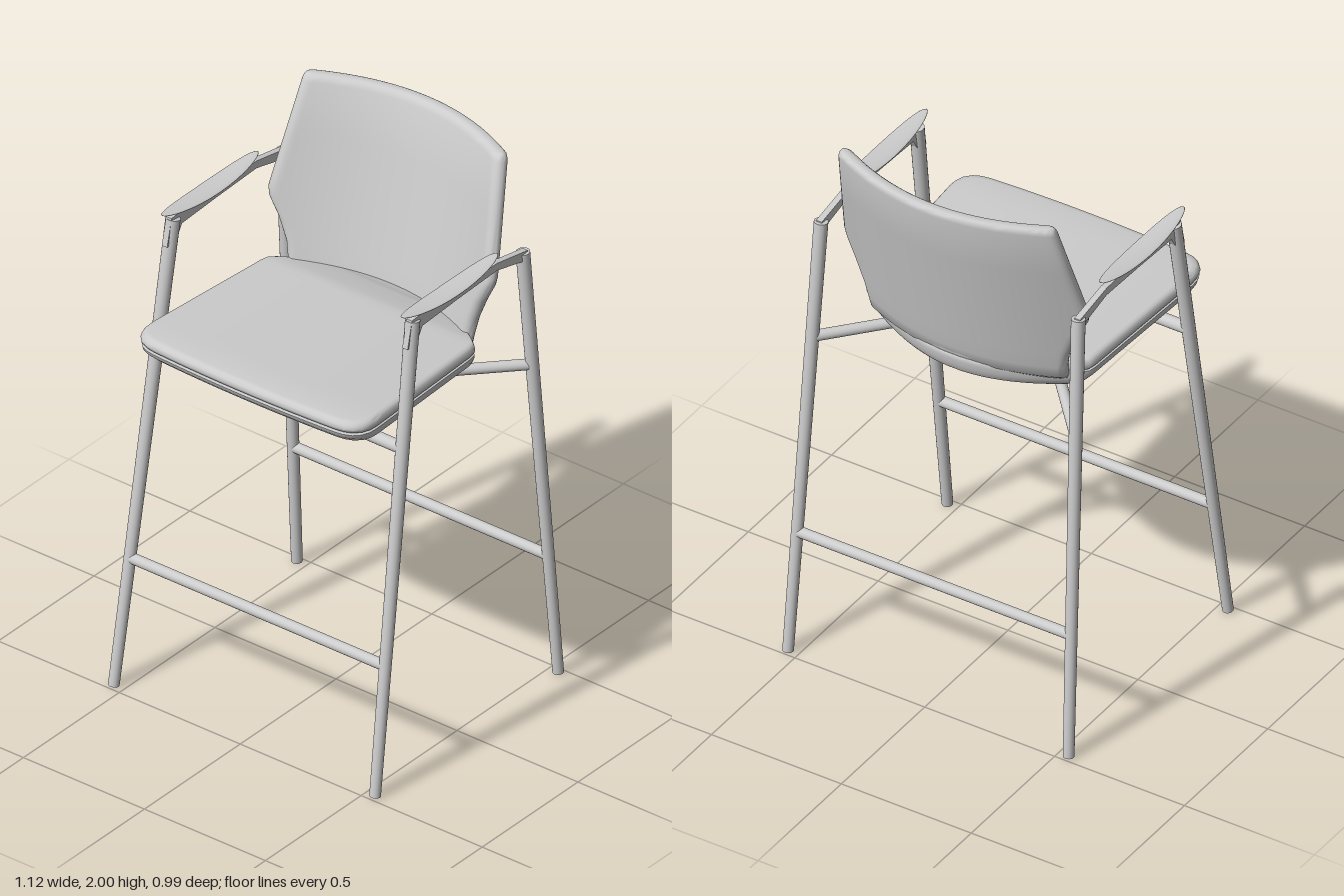
import * as THREE from 'three';
import { toCreasedNormals } from 'three/addons/utils/BufferGeometryUtils.js';

const V = (x, y, z) => new THREE.Vector3(x, y, z);

// Closed rings stacked bottom to top, with strip caps joining each ring's two halves
function loft(rings) {
  const n = rings[0].length, pos = [], idx = [];
  rings.forEach(r => r.forEach(p => pos.push(p.x, p.y, p.z)));
  for (let i = 0; i < rings.length - 1; i++) {
    for (let j = 0; j < n; j++) {
      const a = i * n + j, b = i * n + (j + 1) % n;
      idx.push(a, b, b + n, a, b + n, a + n);
    }
  }
  const t = (rings.length - 1) * n;
  for (let j = 0; j < n / 2 - 1; j++) {
    const k = n - 1 - j;
    idx.push(t + j, t + j + 1, t + k, t + j + 1, t + k - 1, t + k);
    idx.push(j, k, j + 1, j + 1, k, k - 1);
  }
  const g = new THREE.BufferGeometry();
  g.setAttribute('position', new THREE.Float32BufferAttribute(pos, 3));
  g.setIndex(idx);
  return toCreasedNormals(g, 0.8);
}

// Round bar between two points
function barGeometry(a, b, ra, rb) {
  const d = b.clone().sub(a);
  const g = new THREE.CylinderGeometry(rb, ra, d.length(), 20);
  g.applyQuaternion(new THREE.Quaternion().setFromUnitVectors(V(0, 1, 0), d.normalize()));
  const m = a.clone().add(b).multiplyScalar(0.5);
  return g.translate(m.x, m.y, m.z);
}

// Seat outline seen from above: front edge, rounded corners, arched rear
function seatOutline() {
  const s = new THREE.Shape();
  s.moveTo(0, 0.495);
  s.quadraticCurveTo(0.2, 0.495, 0.38, 0.483);
  s.quadraticCurveTo(0.472, 0.475, 0.47, 0.385);
  s.lineTo(0.437, -0.165);
  s.quadraticCurveTo(0.435, -0.185, 0.415, -0.197);
  s.quadraticCurveTo(0.2, -0.345, 0, -0.345);
  const half = s.getSpacedPoints(50);
  const other = half.map(p => new THREE.Vector2(-p.x, p.y)).reverse();
  return [...half, ...other.slice(1, -1)];
}

// Seat layers: [height, x scale, z scale]; scaling in z is about a rear pivot
function seatGeometry(layers) {
  const outline = seatOutline();
  // drop the front centre point so that the ring pairs up across the middle
  outline.shift();
  outline.splice(49, 1);
  return loft(layers.map(([y, sx, sz]) => outline.map(p => {
    const z = -0.22 + (p.y + 0.22) * sz;
    return V(p.x * sx, y - 0.022 * (0.5 - z), z);
  })));
}

// Curved, reclined backrest: rows of [height, half width, thickness factor]
function backrestGeometry() {
  const rows = [
    [1.30, 0.37, 0.4], [1.315, 0.375, 0.9], [1.36, 0.378, 1], [1.42, 0.39, 1], [1.5, 0.422, 1],
    [1.57, 0.458, 1], [1.6, 0.464, 1], [1.65, 0.458, 1], [1.8, 0.438, 1], [1.975, 0.415, 1],
    [1.99, 0.411, 0.85], [1.997, 0.407, 0.6], [2.0, 0.402, 0.3],
  ];
  const N = 40;
  return loft(rows.map(([y, w, f]) => {
    const front = [], back = [];
    const zc = -0.325 - 0.227 * (y - 1.36);
    for (let i = 0; i <= N; i++) {
      const u = Math.sin((i / N - 0.5) * Math.PI), x = u * w;
      const over = Math.max(0, (Math.abs(x) - (w - 0.025)) / 0.025);
      const h = Math.max(0.001, 0.026 * f * Math.sqrt(Math.max(0, 1 - over * over)));
      const m = 1.36 * x, len = Math.hypot(m, 1), z = zc + 0.68 * x * x;
      front.push(V(x - h * m / len, y, z + h / len));
      back.push(V(x + h * m / len, y, z - h / len));
    }
    return [...front, ...back.reverse()];
  }));
}

// Slim arm bracket: side profile in (z, y)
function armGeometry() {
  const pts = [[0.268, 1.6], [0.245, 1.70], [0.19, 1.705], [-0.2, 1.70], [-0.36, 1.67],
    [-0.36, 1.63], [-0.33, 1.64], [-0.2, 1.672], [0, 1.665], [0.19, 1.655], [0.222, 1.6]];
  const shape = new THREE.Shape(pts.map(p => new THREE.Vector2(...p)));
  const g = new THREE.ExtrudeGeometry(shape, { depth: 0.022, bevelEnabled: false });
  return g.rotateY(-Math.PI / 2).translate(0.011, 0, 0);
}

// Thin leaf-shaped pad with upturned ends
function padGeometry() {
  const g = new THREE.SphereGeometry(1, 32, 20).scale(0.04, 0.007, 0.25);
  const p = g.attributes.position;
  for (let i = 0; i < p.count; i++) p.setY(i, p.getY(i) + 0.02 * (p.getZ(i) / 0.25) ** 2);
  g.computeVertexNormals();
  return g;
}

export function createModel() {
  const model = new THREE.Group();
  model.name = 'barChair';
  const grey = new THREE.MeshStandardMaterial({ color: 0xcccccc });
  grey.name = 'lightGrey';
  const add = (name, geometry) => {
    const mesh = new THREE.Mesh(geometry, grey);
    mesh.name = name;
    model.add(mesh);
    return mesh;
  };
  const bar = (name, a, b, ra, rb = ra) => add(name, barGeometry(a, b, ra, rb));

  // Seat shell, cushion and backrest
  add('seatShell', seatGeometry([
    [1.272, 0.84, 0.82], [1.275, 0.88, 0.86], [1.285, 0.925, 0.91], [1.305, 0.968, 0.96],
    [1.325, 0.99, 0.99], [1.34, 0.995, 0.997], [1.343, 0.98, 0.98],
  ]));
  add('seatCushion', seatGeometry([
    [1.343, 0.975, 0.975], [1.348, 0.992, 0.992], [1.36, 1, 1], [1.373, 0.995, 0.995],
    [1.382, 0.98, 0.982], [1.385, 0.955, 0.96],
  ]));
  add('backrest', backrestGeometry());

  // Legs, arms and rails on both sides
  for (const [s, side] of [[1, 'left'], [-1, 'right']]) {
    bar(side + 'FrontLeg', V(s * 0.54, 0.004, 0.478), V(s * 0.495, 1.69, 0.225), 0.019, 0.025);
    bar(side + 'BackLeg', V(s * 0.54, 0.004, -0.478), V(s * 0.495, 1.665, -0.35), 0.019, 0.024);
    add(side + 'Arm', armGeometry()).position.x = s * 0.497;
    add(side + 'ArmPad', padGeometry()).position.set(s * 0.495, 1.706, 0.033);
    bar(side + 'SeatRail', V(s * 0.25, 1.23, 0.29), V(s * 0.25, 1.225, -0.1), 0.019);
    bar(side + 'DiagonalRail', V(s * 0.25, 1.225, -0.1), V(s * 0.505, 1.22, -0.383), 0.019);
    add(side + 'RailJoint', new THREE.SphereGeometry(0.019, 16, 12)).position.set(s * 0.25, 1.225, -0.1);
  }

  // Cross bars under the seat and between the legs
  bar('frontSeatBar', V(-0.505, 1.235, 0.292), V(0.505, 1.235, 0.292), 0.022);
  bar('rearSeatBar', V(-0.25, 1.225, -0.1), V(0.25, 1.225, -0.1), 0.019);
  bar('frontFootrest', V(-0.525, 0.465, 0.409), V(0.525, 0.465, 0.409), 0.019);
  bar('backFootrest', V(-0.525, 0.465, -0.443), V(0.525, 0.465, -0.443), 0.019);

  return model;
}
